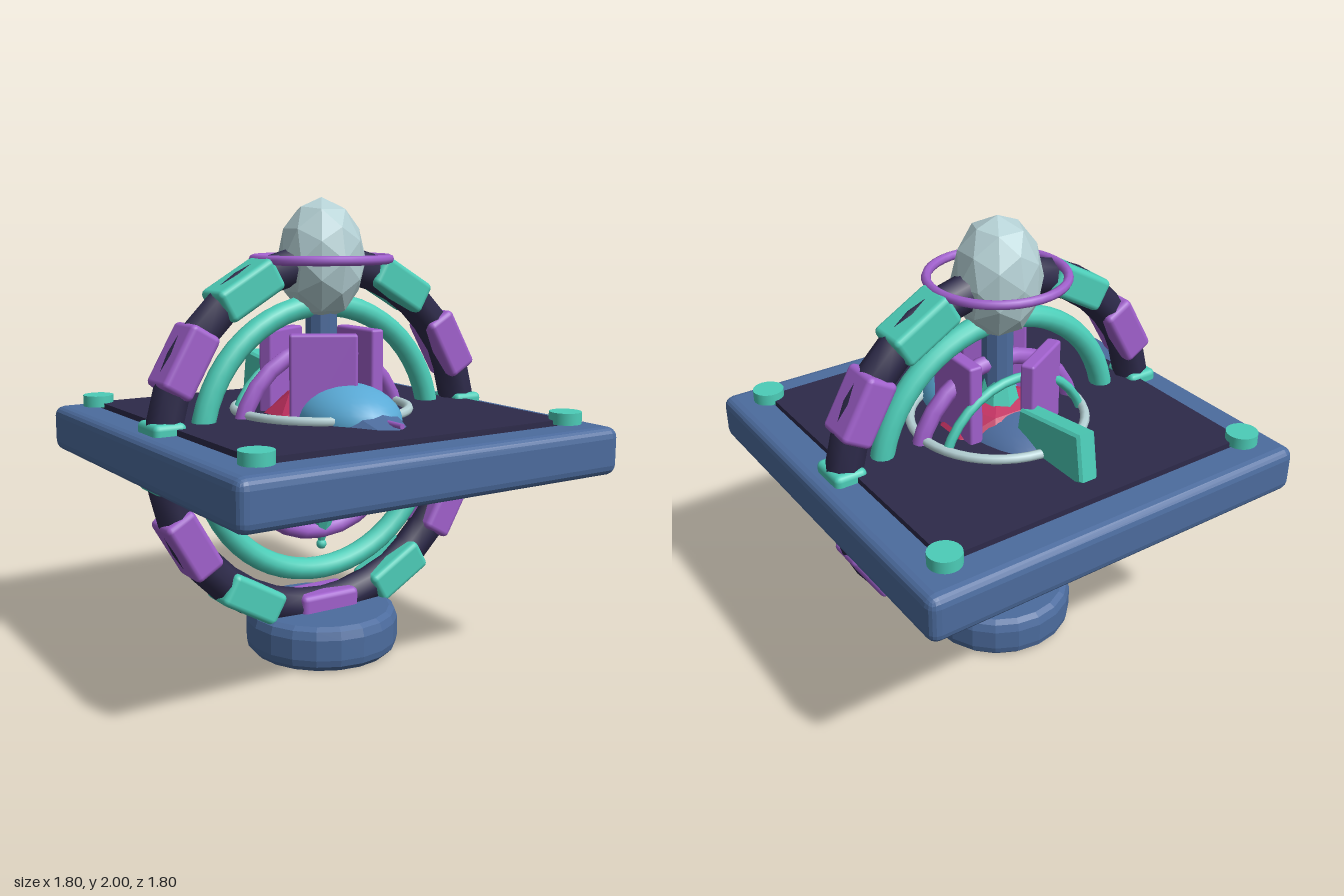
import * as THREE from 'three';
import { RoundedBoxGeometry } from 'three/addons/geometries/RoundedBoxGeometry.js';

const mat = (name, color) => Object.assign(new THREE.MeshStandardMaterial({ color }), { name });

export function createModel() {
  const model = new THREE.Group();
  const navy = mat('dark navy', 0x2d2a4a), blue = mat('slate blue', 0x4c6c9e);
  const teal = mat('teal', 0x4ccdb8), purple = mat('purple', 0xa060cc);
  const sky = mat('sky blue', 0x5aaad6), pale = mat('pale grey', 0xb4d0d4);
  const crimson = mat('crimson', 0xc03060);

  const add = (name, geometry, material, x = 0, y = 0, z = 0, parent = model) => {
    const mesh = new THREE.Mesh(geometry, material);
    mesh.name = name;
    mesh.position.set(x, y, z);
    parent.add(mesh);
    return mesh;
  };
  const flat = (geometry) => {
    const g = geometry.index ? geometry.toNonIndexed() : geometry;
    g.computeVertexNormals();
    return g;
  };
  const lathe = (points, sides) =>
    flat(new THREE.LatheGeometry(points.map(([r, y]) => new THREE.Vector2(r, y)), sides));
  const ellipsoid = (rx, ry, rz) => new THREE.SphereGeometry(1, 28, 18).scale(rx, ry, rz);
  const crystal = (rx, ry, rz) => flat(new THREE.IcosahedronGeometry(1, 1).scale(rx, ry, rz));
  const CY = 0.965; // shared centre height of the upright rings

  // Round base with bevelled rims
  add('base', lathe([[0, 0.005], [0.31, 0.005], [0.335, 0.03], [0.342, 0.06], [0.342, 0.15],
    [0.33, 0.185], [0.305, 0.2], [0, 0.2]], 20), blue);

  // Square platform, dark inset and corner discs
  add('platform', flat(new RoundedBoxGeometry(1.8, 0.205, 1.8, 2, 0.045)), blue, 0, 0.96, 0);
  add('platformInset', new THREE.BoxGeometry(1.476, 0.03, 1.476), navy, 0, 1.072, 0);
  for (const x of [-0.738, 0.738]) {
    for (const z of [-0.738, 0.738]) {
      add('cornerDisc', new THREE.CylinderGeometry(0.068, 0.068, 0.05, 24), teal, x, 1.095, z);
    }
  }

  // Large upright ring with alternating clasps
  add('outerRing', new THREE.TorusGeometry(0.76, 0.08, 8, 36), navy, 0, CY, 0);
  const clasps = new THREE.Group();
  clasps.name = 'ringClasps';
  clasps.position.y = CY;
  model.add(clasps);
  for (let i = 0; i < 12; i++) {
    const a = (i * Math.PI) / 6;
    const clasp = add('ringClasp', new RoundedBoxGeometry(0.145, 0.29, 0.185, 2, 0.025),
      i % 2 ? purple : teal, 0.76 * Math.cos(a), 0.76 * Math.sin(a), 0, clasps);
    clasp.rotation.z = a;
  }

  // Nested upright rings
  add('middleRing', new THREE.TorusGeometry(0.587, 0.05, 12, 56), teal, 0, CY - 0.005, 0);
  add('innerRing', new THREE.TorusGeometry(0.41, 0.038, 8, 28), purple, 0, CY - 0.01, 0);
  add('rearRing', new THREE.TorusGeometry(0.37, 0.021, 8, 36), teal, 0, CY - 0.005, -0.135);

  // Flat ring resting on the platform
  const deckRing = add('deckRing', new THREE.TorusGeometry(0.38, 0.021, 8, 48), pale, 0, 1.1, 0);
  deckRing.rotation.x = Math.PI / 2;

  // Faceted head, halo and neck
  add('head', crystal(0.19, 0.262, 0.19), pale, 0, 1.738, 0);
  const halo = add('halo', new THREE.TorusGeometry(0.29, 0.02, 8, 40), purple, 0, 1.742, 0);
  halo.rotation.x = Math.PI / 2;
  add('neck', flat(new THREE.CylinderGeometry(0.07, 0.07, 0.28, 10)), blue, 0, 1.4, 0);
  add('neckCone', flat(new THREE.CylinderGeometry(0.05, 0.11, 0.24, 8)), teal, 0, 1.24, 0);

  // Three upright panels around the centre
  for (let i = 0; i < 3; i++) {
    const a = (i * Math.PI * 2) / 3;
    const panel = add('uprightPanel', new RoundedBoxGeometry(0.063, 0.5, 0.285, 2, 0.012), purple,
      0.2 * Math.cos(a), 1.19, 0.2 * Math.sin(a));
    panel.rotation.y = -a;
  }

  // Crimson core with a downward spike
  add('core', crystal(0.31, 0.265, 0.25), crimson, 0, 0.95, 0);
  add('lowerSpike', flat(new THREE.CylinderGeometry(0.105, 0.012, 0.24, 8)), teal, 0, 0.61, 0);
  add('spikeTip', new THREE.SphereGeometry(0.023, 12, 8), teal, 0, 0.48, 0);

  // Craft body, canopy, nose cone and front probe
  add('craftBody', ellipsoid(0.23, 0.17, 0.455), blue, 0, 1.0, 0);
  add('canopy', ellipsoid(0.21, 0.155, 0.28), sky, 0, 1.077, 0.2);
  const nose = add('noseCone', flat(new THREE.ConeGeometry(0.2, 0.5, 12)), blue, 0, 0.965, 0.63);
  nose.rotation.x = Math.PI / 2;
  const probe = add('frontProbe', new THREE.CylinderGeometry(0.012, 0.012, 0.16, 8), purple, 0, 1.105, 0.515);
  probe.rotation.x = Math.PI / 2;

  // Tail fin drawn in side profile
  const fin = new THREE.Shape();
  [[0.2, 1.05], [0.23, 1.23], [0.6, 1.285], [0.63, 1.1], [0.6, 1.085]]
    .forEach(([z, y], i) => (i ? fin.lineTo(z, y) : fin.moveTo(z, y)));
  const finGeometry = new THREE.ExtrudeGeometry(fin, {
    depth: 0.064, bevelEnabled: true, bevelSize: 0.01, bevelThickness: 0.012, bevelSegments: 1 });
  finGeometry.translate(0, 0, -0.032).rotateY(Math.PI / 2);
  add('tailFin', finGeometry, teal);

  // Paired engines with pale nozzles, and small lower fins
  for (const s of [-1, 1]) {
    const engine = add('engine', new THREE.CylinderGeometry(0.048, 0.048, 0.4, 12), navy, s * 0.31, 0.858, -0.23);
    engine.rotation.x = Math.PI / 2;
    const nozzle = add('engineNozzle', new THREE.CylinderGeometry(0.03, 0.046, 0.03, 12), pale, s * 0.31, 0.858, -0.445);
    nozzle.rotation.x = -Math.PI / 2;
    const lowerFin = add('lowerFin', new THREE.BoxGeometry(0.09, 0.12, 0.07), purple, s * 0.28, 0.805, -0.235);
    lowerFin.rotation.set(0.2, 0, s * 0.1);
  }
  return model;
}
